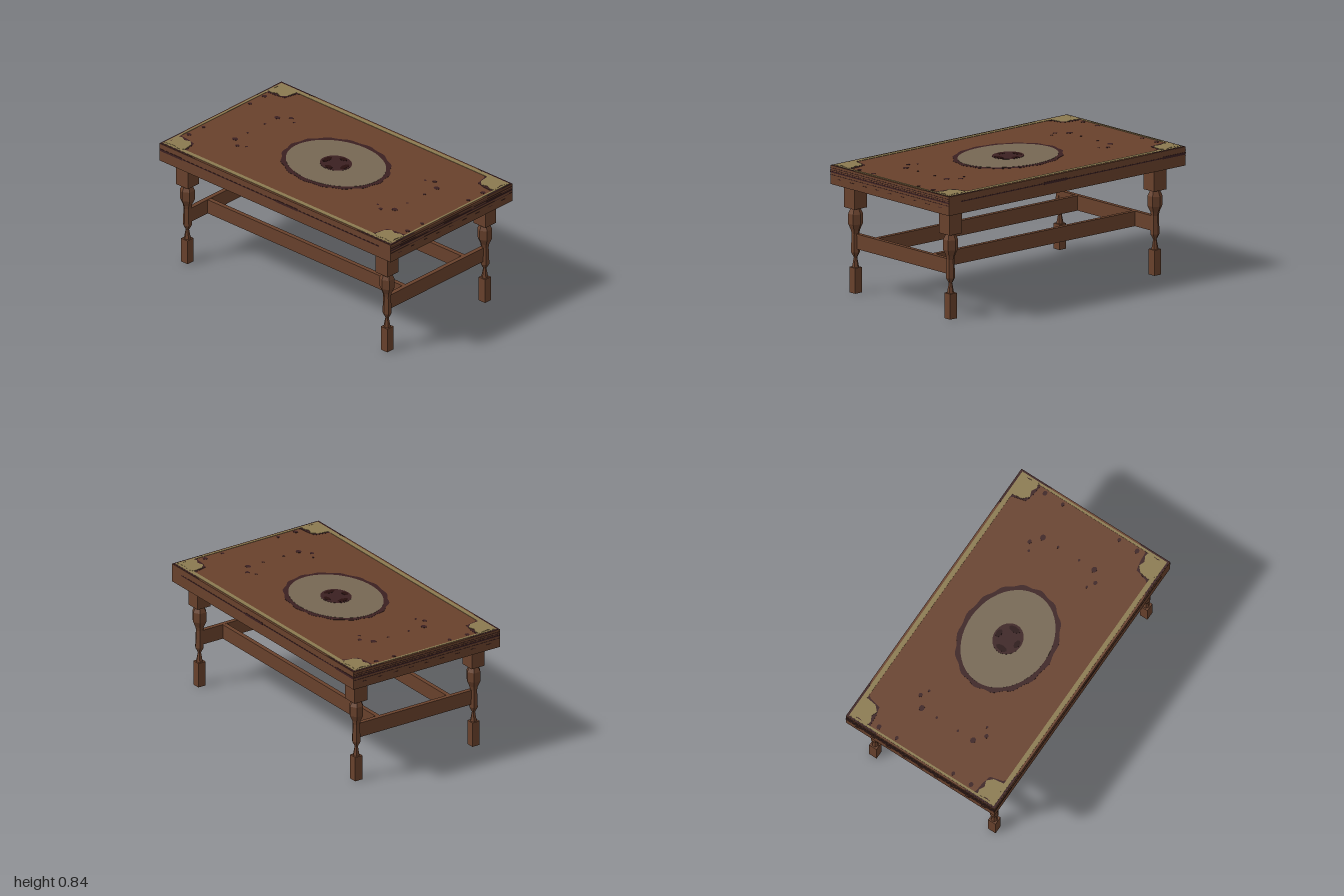
import * as THREE from 'three';

const colour = (name, color) => Object.assign(new THREE.MeshStandardMaterial({ color }), { name });

export function createModel() {
  const model = new THREE.Group();
  const wood = colour('brown wood', 0x68412c);
  wood.flatShading = true;
  const cream = colour('cream inlay', 0x8b7a50);
  const taupe = colour('taupe inlay', 0x766753);
  const maroon = colour('maroon inlay', 0x3b2021);
  const dark = colour('dark inlay', 0x28100f);

  const add = (name, geometry, material, x, y, z) => {
    const mesh = new THREE.Mesh(geometry, material);
    mesh.name = name;
    mesh.position.set(x, y, z);
    model.add(mesh);
    return mesh;
  };
  const box = (name, material, w, h, d, x, y, z) =>
    add(name, new THREE.BoxGeometry(w, h, d), material, x, y, z);

  // Table top
  const TOP = 0.831, BOTTOM = 0.709, HX = 0.565;
  box('tableTop', wood, HX * 2, TOP - BOTTOM, 2, 0, (TOP + BOTTOM) / 2, 0);

  // Inlays are thin plates on both faces of the top; higher layers cover lower ones
  const inlay = (name, shape, material, layer) => {
    const depth = layer * 0.0012;
    const geometry = new THREE.ExtrudeGeometry(shape, { depth, bevelEnabled: false, curveSegments: 32 });
    geometry.rotateX(Math.PI / 2);
    add(name, geometry, material, 0, TOP + depth, 0);
    add(name + 'Underside', geometry, material, 0, BOTTOM, 0);
  };
  const polygon = (points) => new THREE.Shape(points.map(([x, z]) => new THREE.Vector2(x, z)));
  const oval = (rx, rz, x = 0, z = 0, wave = 0) => {
    const points = [];
    const n = wave ? 96 : rx > 0.05 ? 48 : 8;
    for (let i = 0; i < n; i++) {
      const a = (i / n) * Math.PI * 2;
      const r = 1 + wave * Math.cos(a * 16);
      points.push([x + Math.cos(a) * rx * r, z + Math.sin(a) * rz * r]);
    }
    return polygon(points);
  };
  const rectangle = (hx, hz) => [[-hx, -hz], [hx, -hz], [hx, hz], [-hx, hz]];

  // Central medallion
  inlay('medallionRim', oval(0.307, 0.38, 0, 0, 0.016), maroon, 1);
  inlay('medallionField', oval(0.276, 0.35), taupe, 2);
  inlay('medallionCentre', oval(0.095, 0.108), maroon, 3);
  for (const s of [-1, 1]) {
    inlay('centreSpot', oval(0.04, 0.02, 0, s * 0.075), dark, 4);
    inlay('centreSpot', oval(0.018, 0.03, s * 0.068, 0), dark, 4);
  }

  // Cream border
  const border = polygon(rectangle(0.55, 0.987));
  border.holes.push(new THREE.Path(rectangle(0.52, 0.972).map(([x, z]) => new THREE.Vector2(x, z))));
  inlay('borderLine', border, cream, 2);

  // Corner ornaments and scattered dots, mirrored into all four quarters
  const cornerBack = [[0.562, 0.998], [0.33, 0.998], [0.4, 0.965], [0.405, 0.9], [0.42, 0.835],
    [0.5, 0.815], [0.545, 0.78], [0.562, 0.7]];
  const cornerFront = [[0.537, 0.985], [0.49, 0.965], [0.42, 0.98], [0.412, 0.945], [0.43, 0.91],
    [0.415, 0.87], [0.45, 0.835], [0.52, 0.825], [0.54, 0.86], [0.525, 0.91]];
  const dots = [[0.195, 0.69, 0.018], [0.25, 0.62, 0.013], [0.22, 0.567, 0.008], [0.08, 0.69, 0.008],
    [0.35, 0.945, 0.015], [0.215, 0.945, 0.012]];
  for (const sx of [-1, 1]) for (const sz of [-1, 1]) {
    const mirror = (points) => polygon(points.map(([x, z]) => [x * sx, z * sz]));
    inlay('cornerShadowInlay', mirror(cornerBack), maroon, 1);
    inlay('cornerOrnament', mirror(cornerFront), cream, 3);
    for (const [x, z, r] of dots) inlay('dot', oval(r, r * 1.2, x * sx, z * sz), maroon, 1);
  }

  // Dark grain lines around the edge of the top
  for (const s of [-1, 1]) {
    for (const [y, h] of [[0.815, 0.003], [0.803, 0.003], [0.79, 0.01], [0.771, 0.003]])
      box('endGrainLine', maroon, HX * 2, h, 0.003, 0, y, s);
    for (let i = 0; i < 9; i++)
      box('endGrainDash', maroon, 0.035, 0.003, 0.003, -0.48 + i * 0.12, 0.75, s);
    box('sideGrainLine', maroon, 0.003, 0.007, 1.8, s * HX, 0.787, 0);
    for (const z of [0.1, -0.9])
      box('sideGrainPatch', maroon, 0.004, 0.016, 0.19, s * HX, 0.788, z);
  }

  // Turned six-sided legs with square blocks above and below
  const profile = [[0.024, 0.16], [0.011, 0.23], [0.03, 0.265], [0.025, 0.385], [0.03, 0.41],
    [0.048, 0.45], [0.048, 0.515], [0.028, 0.557]].map(([r, y]) => new THREE.Vector2(r, y));
  const turning = new THREE.LatheGeometry(profile, 6, Math.PI / 2);
  const CX = -0.0125, CZ = 0.0125;
  for (const sx of [-1, 1]) for (const sz of [-1, 1]) {
    const x = CX + sx * 0.4525, z = CZ + sz * 0.864;
    box('legBlock', wood, 0.1, 0.156, 0.104, x, 0.633, z);
    add('turnedLeg', turning, wood, x, 0, z);
    box('foot', wood, 0.056, 0.166, 0.056, x, 0.083, z);
  }

  // Stretchers: one across each end, two running lengthwise between them
  for (const s of [-1, 1]) {
    box('endStretcher', wood, 0.88, 0.098, 0.03, CX, 0.336, CZ + s * 0.857);
    box('longStretcher', wood, 0.03, 0.097, 1.69, CX + s * 0.273, 0.336, CZ);
  }
  return model;
}
